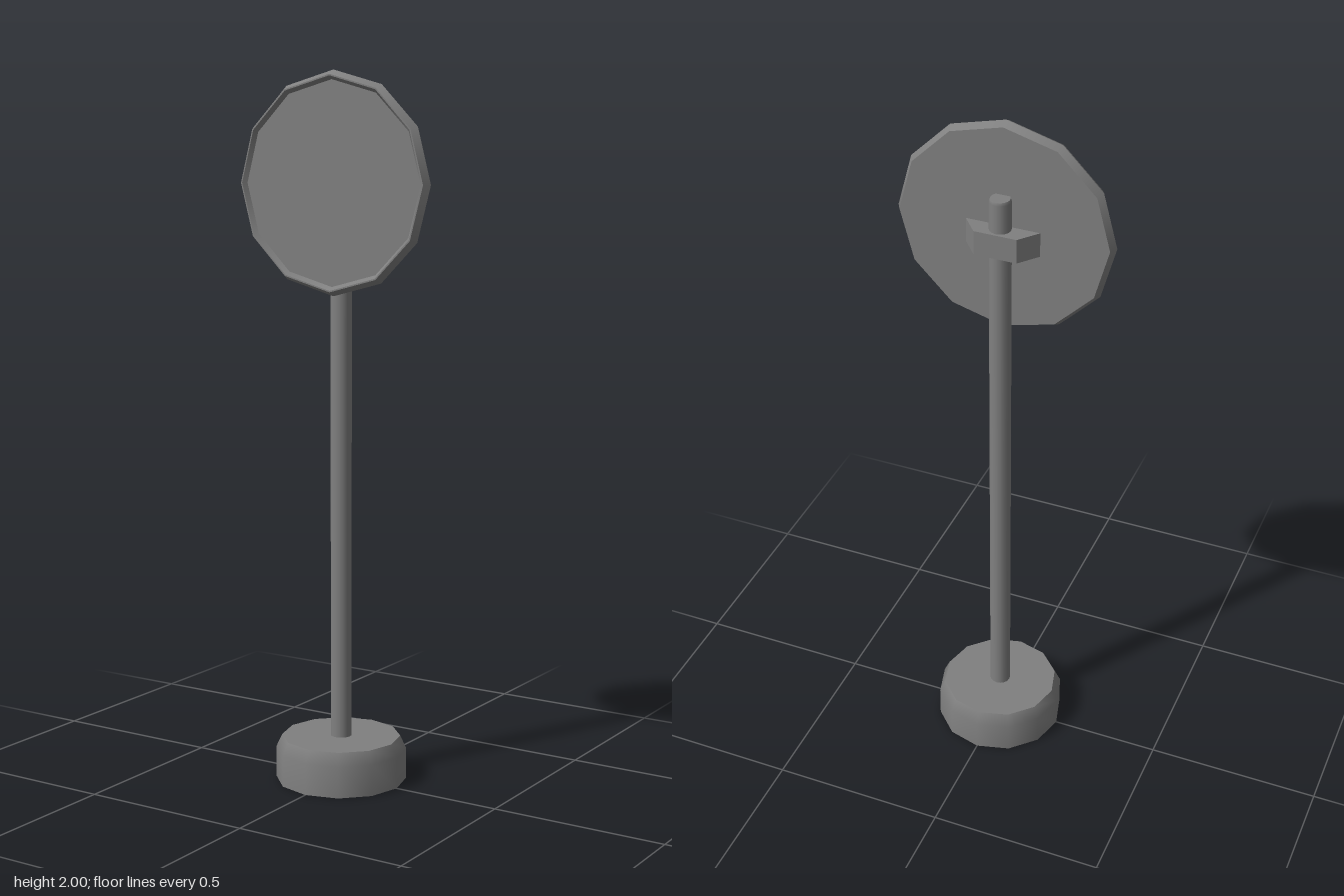
import * as THREE from 'three';
import { mergeGeometries } from 'three/addons/utils/BufferGeometryUtils.js';

const grey = new THREE.MeshStandardMaterial({ color: 0x808080 });
grey.name = 'grey metal';

// Turned part: each section is smooth in itself, with a hard edge to the next
function turned(name, sides, sections) {
  const parts = sections.map((s) =>
    new THREE.LatheGeometry(s.map(([r, y]) => new THREE.Vector2(r, y)), sides));
  const mesh = new THREE.Mesh(mergeGeometries(parts), grey);
  mesh.name = name;
  return mesh;
}

export function createModel() {
  const model = new THREE.Group();
  model.name = 'roundSignOnPost';

  // Weighted foot with a chamfered upper edge
  const base = turned('base', 12, [
    [[0, 0], [0.186, 0]],
    [[0.186, 0], [0.186, 0.09], [0.169, 0.126]],
    [[0.169, 0.126], [0, 0.126]],
  ]);

  // Pole with a slightly bevelled top
  const pole = turned('pole', 16, [
    [[0.03, 0.11], [0.03, 1.788], [0.027, 1.796]],
    [[0.027, 1.796], [0, 1.796]],
  ]);

  // Sign disc: pointed rim and a shallow recessed face
  const disc = turned('signDisc', 12, [
    [[0, -0.021], [0.295, -0.021]],
    [[0.295, -0.021], [0.307, 0]],
    [[0.307, 0], [0.295, 0.021]],
    [[0.295, 0.021], [0.291, 0.021]],
    [[0.291, 0.021], [0.281, 0.009]],
    [[0.281, 0.009], [0, 0.009]],
  ]);
  disc.rotation.x = Math.PI / 2;
  disc.position.set(0, 1.693, 0.039);

  // Trapezoid clamp joining pole and disc (shape y becomes -z)
  const outline = new THREE.Shape([
    new THREE.Vector2(-0.105, -0.019),
    new THREE.Vector2(0.105, -0.019),
    new THREE.Vector2(0.06, 0.037),
    new THREE.Vector2(-0.06, 0.037),
  ]);
  const clamp = new THREE.Mesh(
    new THREE.ExtrudeGeometry(outline, { depth: 0.07, bevelEnabled: false }), grey);
  clamp.name = 'clamp';
  clamp.rotation.x = -Math.PI / 2;
  clamp.position.y = 1.636;

  model.add(base, pole, disc, clamp);
  return model;
}
